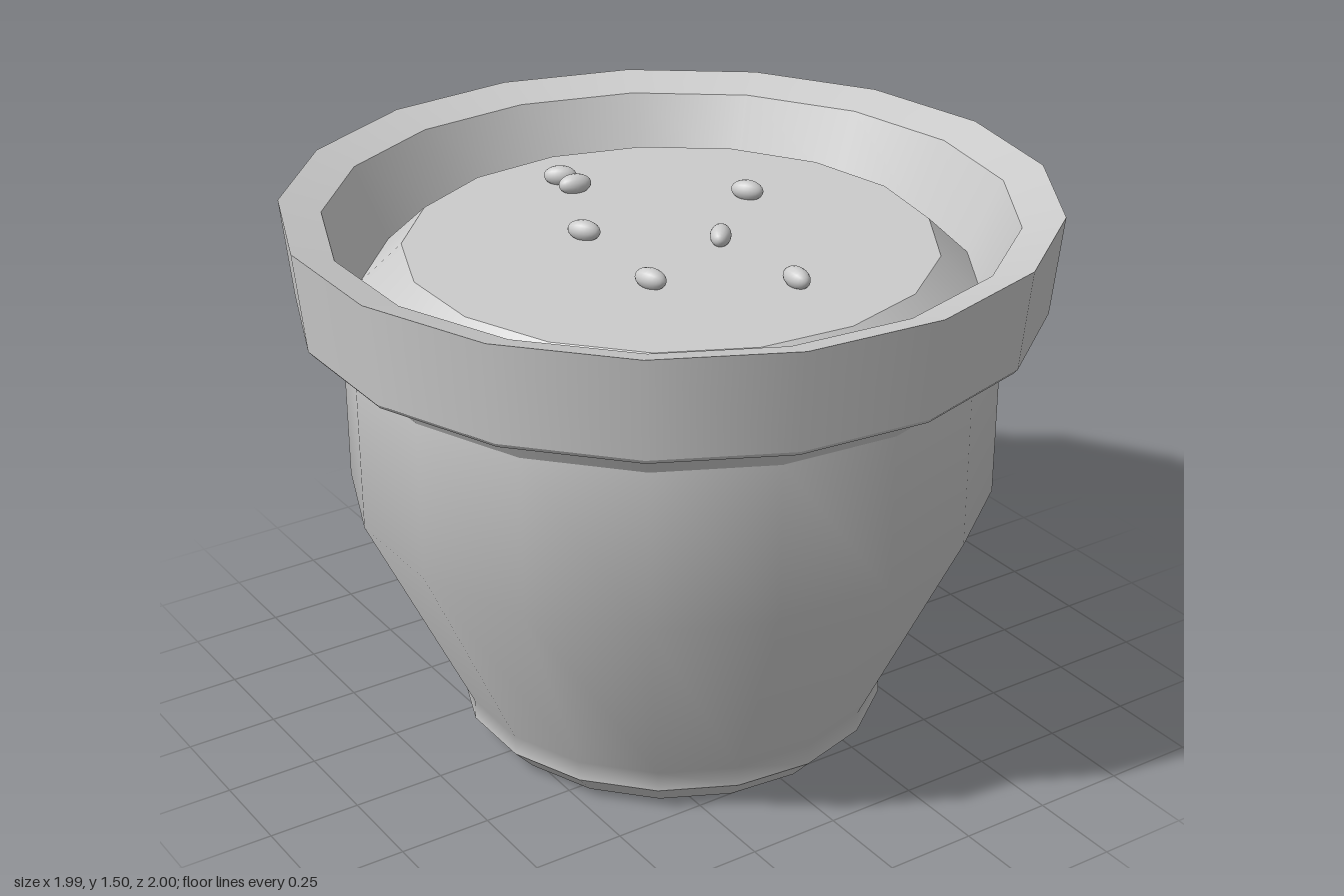
import * as THREE from 'three';

const SIDES = 17;
const material = new THREE.MeshStandardMaterial({ color: 0xcccccc });

// One smooth band of revolution, with a corner on the +x axis
function band(name, profile) {
  const points = profile.map(([r, y]) => new THREE.Vector2(r, y));
  const geometry = new THREE.LatheGeometry(points, SIDES);
  geometry.rotateY(Math.PI / 2);
  const mesh = new THREE.Mesh(geometry, material);
  mesh.name = name;
  return mesh;
}

export function createModel() {
  const model = new THREE.Group();
  model.name = 'flowerPot';

  // Pot: bands run up the outside, over the lip and down inside
  const pot = new THREE.Group();
  pot.name = 'pot';
  pot.add(
    band('base', [[0, 0], [0.52, 0]]),
    band('footBevel', [[0.52, 0], [0.58, 0.065]]),
    band('body', [[0.58, 0.065], [0.58, 0.12], [0.86, 0.715], [0.86, 1.145]]),
    band('neck', [[0.86, 1.145], [0.905, 1.222]]),
    band('rimUnderside', [[0.905, 1.222], [0.965, 1.222]]),
    band('rimBevel', [[0.965, 1.222], [0.976, 1.235]]),
    band('rim', [[0.976, 1.235], [1.003, 1.5]]),
    band('lip', [[1.003, 1.5], [0.895, 1.466]]),
    band('innerWall', [[0.895, 1.466], [0.805, 1.272]])
  );

  // Soil: a flat-topped mound
  const soil = new THREE.Group();
  soil.name = 'soil';
  soil.add(
    band('soilSlope', [[0.805, 1.272], [0.695, 1.376]]),
    band('soilTop', [[0.695, 1.376], [0, 1.376]])
  );

  // Seeds: x, z and heading of the long axis in degrees
  const seeds = new THREE.Group();
  seeds.name = 'seeds';
  const seedGeometry = new THREE.SphereGeometry(1, 16, 12);
  seedGeometry.rotateZ(Math.PI / 2);
  seedGeometry.scale(0.045, 0.028, 0.028);
  const layout = [
    [-0.03, -0.51, -38], [-0.03, -0.435, -15], [-0.185, -0.14, -57],
    [0.33, -0.14, -57], [0.09, 0.083, 52], [-0.215, 0.22, -70], [0.09, 0.415, 90],
  ];
  for (const [x, z, heading] of layout) {
    const seed = new THREE.Mesh(seedGeometry, material);
    seed.name = 'seed';
    // Undo the centring shift applied to the whole model
    seed.position.set(x + 0.008, 1.396, z);
    seed.rotation.y = THREE.MathUtils.degToRad(heading);
    seeds.add(seed);
  }

  model.add(pot, soil, seeds);
  // The odd number of sides needs a small shift to centre it
  for (const part of model.children) part.position.x = -0.008;
  return model;
}
